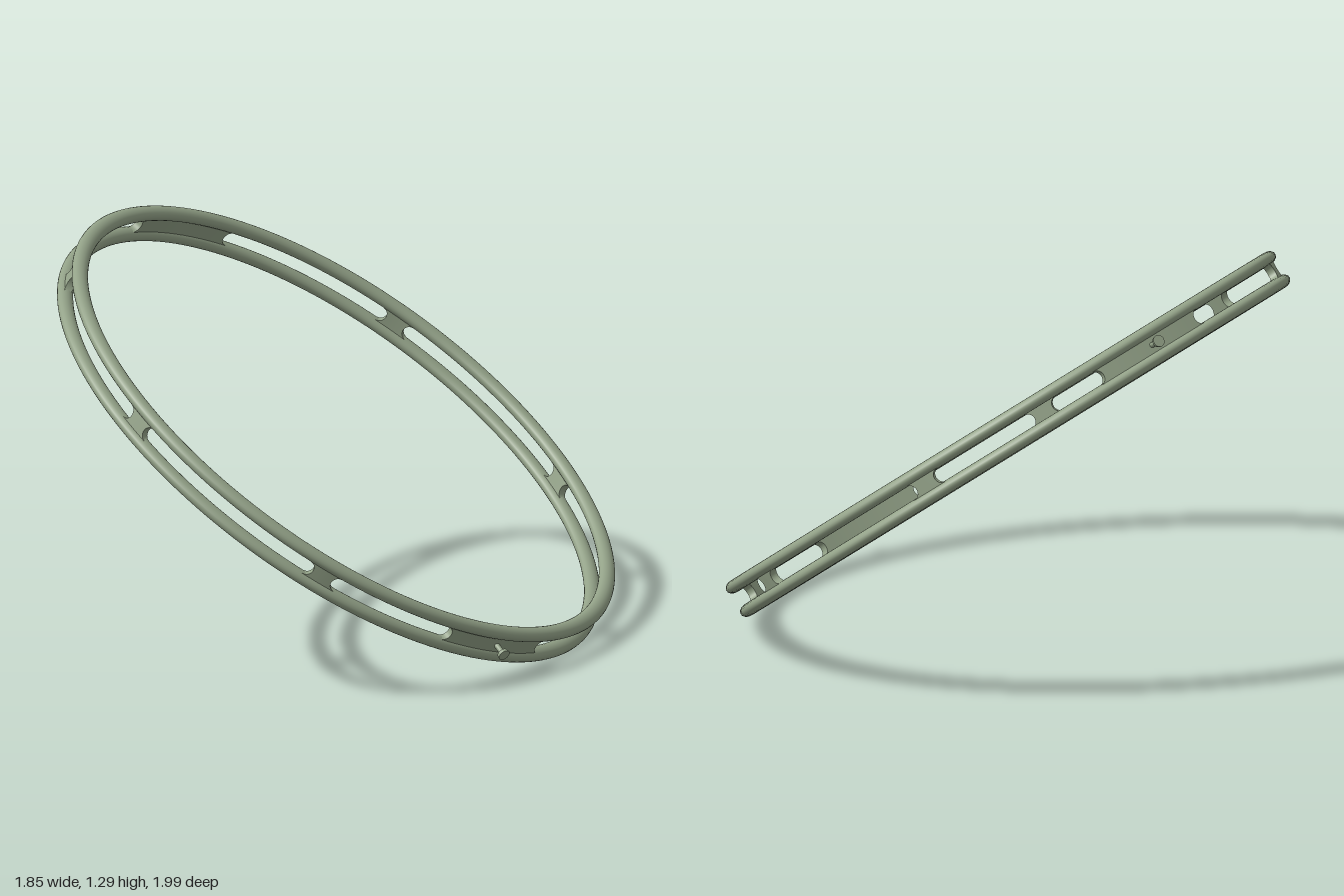
import * as THREE from 'three';

const RADIUS = 1.005;      // centre line of the ring
const RAIL = 0.028;        // radial half width of a rail
const RAIL_OFFSET = 0.044; // rail distance from the ring's middle plane
const SLOT = 0.026;        // radius of the rounded slot ends
const rad = THREE.MathUtils.degToRad;

// Web between two slots: a box bent round the ring, its ends hollowed by the slot rounding
function webGeometry(centre, half) {
  const geo = new THREE.BoxGeometry(2, 2, 2, Math.max(4, Math.ceil(half)), 16, 1);
  const p = geo.attributes.position;
  for (let i = 0; i < p.count; i++) {
    const v = p.getY(i) * SLOT;
    const flare = (SLOT - Math.sqrt(Math.max(0, SLOT * SLOT - v * v))) / RADIUS;
    const a = rad(centre) + p.getX(i) * (rad(half) + flare);
    const r = RADIUS + p.getZ(i) * 0.013;
    p.setXYZ(i, r * Math.cos(a), v, -r * Math.sin(a));
  }
  geo.computeVertexNormals();
  return geo;
}

export function createModel() {
  const model = new THREE.Group();
  const sage = new THREE.MeshStandardMaterial({ color: 0x93a288 });
  sage.name = 'sage green';

  const ring = new THREE.Group();
  ring.name = 'tiltedRing';
  ring.rotation.set(rad(-18), 0, rad(-31.2), 'ZXY');
  ring.position.y = 0.645;
  model.add(ring);

  const add = (name, geo, parent = ring) => {
    const mesh = new THREE.Mesh(geo, sage);
    mesh.name = name;
    parent.add(mesh);
    return mesh;
  };

  // Two rounded rails
  for (const side of [1, -1]) {
    const geo = new THREE.TorusGeometry(RADIUS, RAIL, 20, 180);
    geo.rotateX(Math.PI / 2).scale(1, 0.75, 1);
    add(side > 0 ? 'upperRail' : 'lowerRail', geo).position.y = side * RAIL_OFFSET;
  }

  // Narrow webs between the slots, mirrored across the pin axis
  for (const side of [1, -1])
    for (const angle of [40, 85, 130]) add('web', webGeometry(side * angle, 2));

  // Wide webs carrying the pivot pins
  for (const angle of [0, 180]) {
    add('pivotWeb', webGeometry(angle, 11.5));
    const pin = new THREE.Group();
    pin.name = 'pivotPin';
    pin.rotation.y = rad(angle);
    ring.add(pin);
    const shaft = new THREE.CylinderGeometry(0.009, 0.009, 0.05, 16);
    shaft.rotateZ(-Math.PI / 2).translate(1.032, 0, 0);
    add('pinShaft', shaft, pin);
    const head = new THREE.CylinderGeometry(0.02, 0.018, 0.012, 20);
    head.rotateZ(-Math.PI / 2).translate(1.06, 0, 0);
    add('pinHead', head, pin);
  }
  return model;
}
